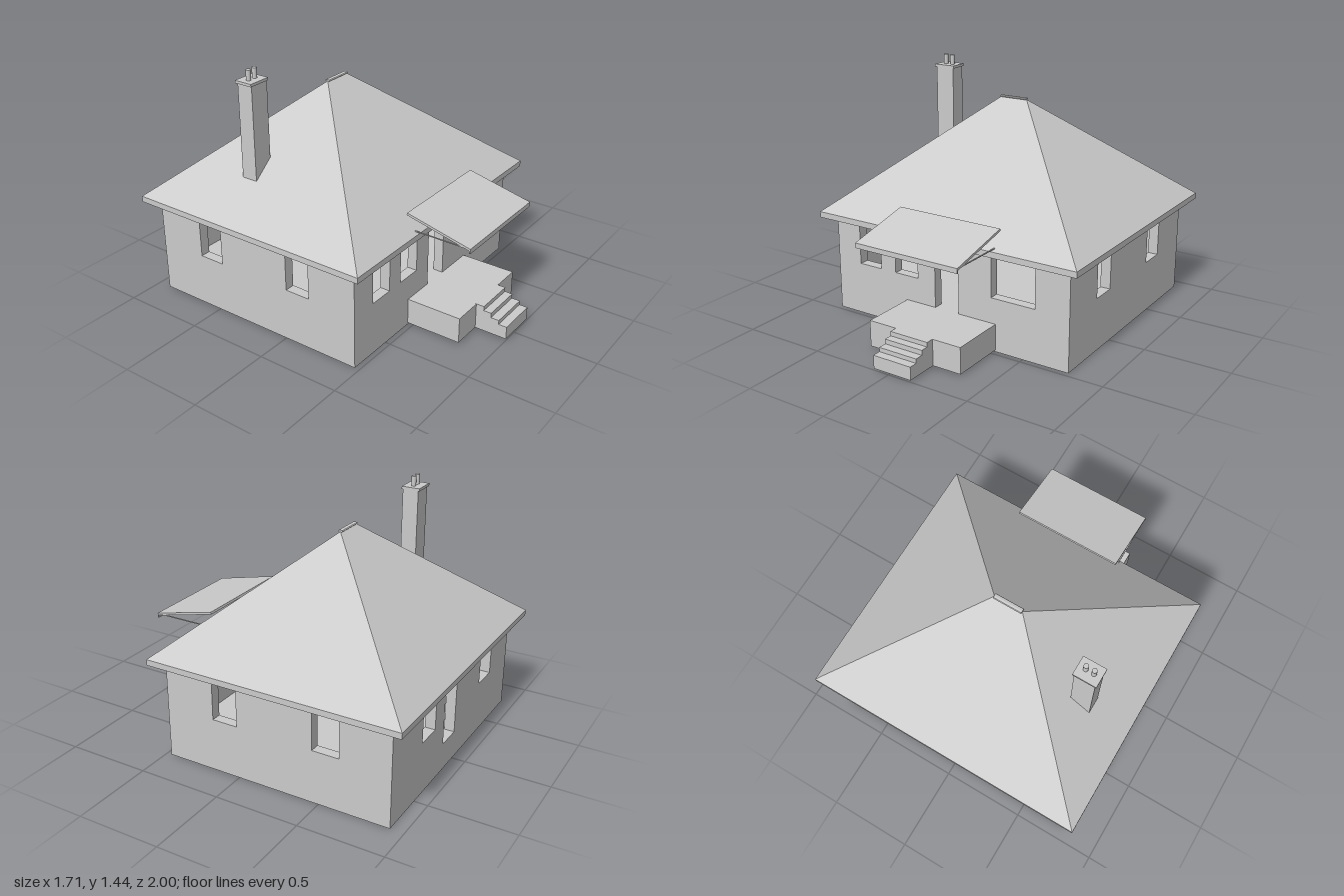
import * as THREE from 'three';

export function createModel() {
  const house = new THREE.Group();
  house.name = 'house';
  const mat = new THREE.MeshStandardMaterial({ color: 0xcccccc, flatShading: true });
  const smooth = new THREE.MeshStandardMaterial({ color: 0xcccccc });

  const add = (name, geo, material = mat) => {
    const mesh = new THREE.Mesh(geo, material);
    mesh.name = name;
    house.add(mesh);
    return mesh;
  };
  // Box given by its limits on each axis
  const box = (name, x0, x1, y0, y1, z0, z1) => {
    const mesh = add(name, new THREE.BoxGeometry(x1 - x0, y1 - y0, z1 - z0));
    mesh.position.set((x0 + x1) / 2, (y0 + y1) / 2, (z0 + z1) / 2);
    return mesh;
  };
  const rect = (target, x0, x1, y0, y1) => {
    target.moveTo(x0, y0);
    target.lineTo(x1, y0);
    target.lineTo(x1, y1);
    target.lineTo(x0, y1);
    target.closePath();
    return target;
  };

  // Walls with openings: each opening is [from, to, bottom, top]
  const L = -0.785, R = 0.782, F = 0.47, B = -0.92, T = 0.06, H = 0.585;
  const wall = (name, from, to, openings) => {
    const shape = rect(new THREE.Shape(), from, to, 0, H);
    openings.forEach((o) => shape.holes.push(rect(new THREE.Path(), ...o)));
    return add(name, new THREE.ExtrudeGeometry(shape, { depth: T, bevelEnabled: false }));
  };
  wall('frontWall', L, R, [
    [-0.62, -0.465, 0.315, 0.56],
    [-0.36, -0.2, 0.315, 0.56],
    [-0.08, 0.08, 0.165, 0.525],
    [0.295, 0.572, 0.315, 0.575],
  ]).position.z = F - T;
  wall('backWall', L, R, [
    [-0.52, -0.355, 0.315, 0.56],
    [-0.01, 0.145, 0.165, 0.525],
    [0.265, 0.425, 0.315, 0.56],
  ]).position.z = B;
  for (const [name, x] of [['leftWall', R - T], ['rightWall', L]]) {
    const side = wall(name, -F + T, -B - T, [
      [-0.165, -0.01, 0.315, 0.56],
      [0.46, 0.62, 0.315, 0.56],
    ]);
    side.rotation.y = Math.PI / 2;
    side.position.x = x;
  }
  box('floor', L + T, R - T, 0.1, 0.165, B + T, F - T);

  // Eaves slab and hipped roof
  const ex = 0.855, ef = 0.543, eb = -1, ey = 0.615;
  box('eaves', -ex, ex, 0.58, ey, eb, ef);
  const a = [-ex, ey, ef], b = [ex, ey, ef], c = [ex, ey, eb], d = [-ex, ey, eb];
  const p = [-0.085, 1.257, -0.228], q = [0.085, 1.257, -0.228];
  const roof = new THREE.BufferGeometry();
  const faces = [a, b, q, a, q, p, b, c, q, c, d, p, c, p, q, d, a, p];
  roof.setAttribute('position', new THREE.Float32BufferAttribute(faces.flat(), 3));
  roof.computeVertexNormals();
  add('roof', roof);
  const ridge = add('ridgeCap', new THREE.CylinderGeometry(0.016, 0.016, 0.172, 8));
  ridge.rotation.z = Math.PI / 2;
  ridge.scale.x = 0.4;
  ridge.position.set(0, 1.26, -0.228);

  // Chimney with two pots
  box('chimneyStack', -0.62, -0.498, 0.62, 1.367, -0.415, -0.317);
  box('chimneyCap', -0.63, -0.492, 1.365, 1.381, -0.424, -0.312);
  for (const x of [-0.585, -0.537]) {
    const pot = add('chimneyPot', new THREE.CylinderGeometry(0.014, 0.014, 0.062, 20), smooth);
    pot.position.set(x, 1.409, -0.367);
  }

  // Porch platform and steps
  box('porchPlatform', -0.28, 0.325, 0.01, 0.165, F, 0.805);
  const profile = new THREE.Shape();
  profile.moveTo(0.8, 0.01);
  [[1, 0.01], [1, 0.087], [0.95, 0.087], [0.95, 0.112], [0.9, 0.112], [0.9, 0.14],
    [0.853, 0.14], [0.853, 0.166], [0.8, 0.166]].forEach(([z, y]) => profile.lineTo(z, y));
  const steps = add('porchSteps', new THREE.ExtrudeGeometry(profile, { depth: 0.245, bevelEnabled: false }));
  steps.rotation.y = -Math.PI / 2;
  steps.position.x = 0.147;

  // Sloping porch roof, its front fascia and thin side brackets
  const rise = 0.092, run = 0.395;
  const canopy = add('porchRoof', new THREE.BoxGeometry(0.663, 0.014, Math.hypot(rise, run)));
  canopy.rotation.x = Math.atan2(rise, run);
  canopy.position.set(0.0235, 0.672, 0.667);
  box('porchFascia', -0.308, 0.355, 0.604, 0.632, 0.86, 0.866);
  box('porchBracket', -0.308, -0.302, 0.627, 0.632, 0.46, 0.862);
  box('porchBracket', 0.349, 0.355, 0.627, 0.632, 0.46, 0.862);

  return house;
}
